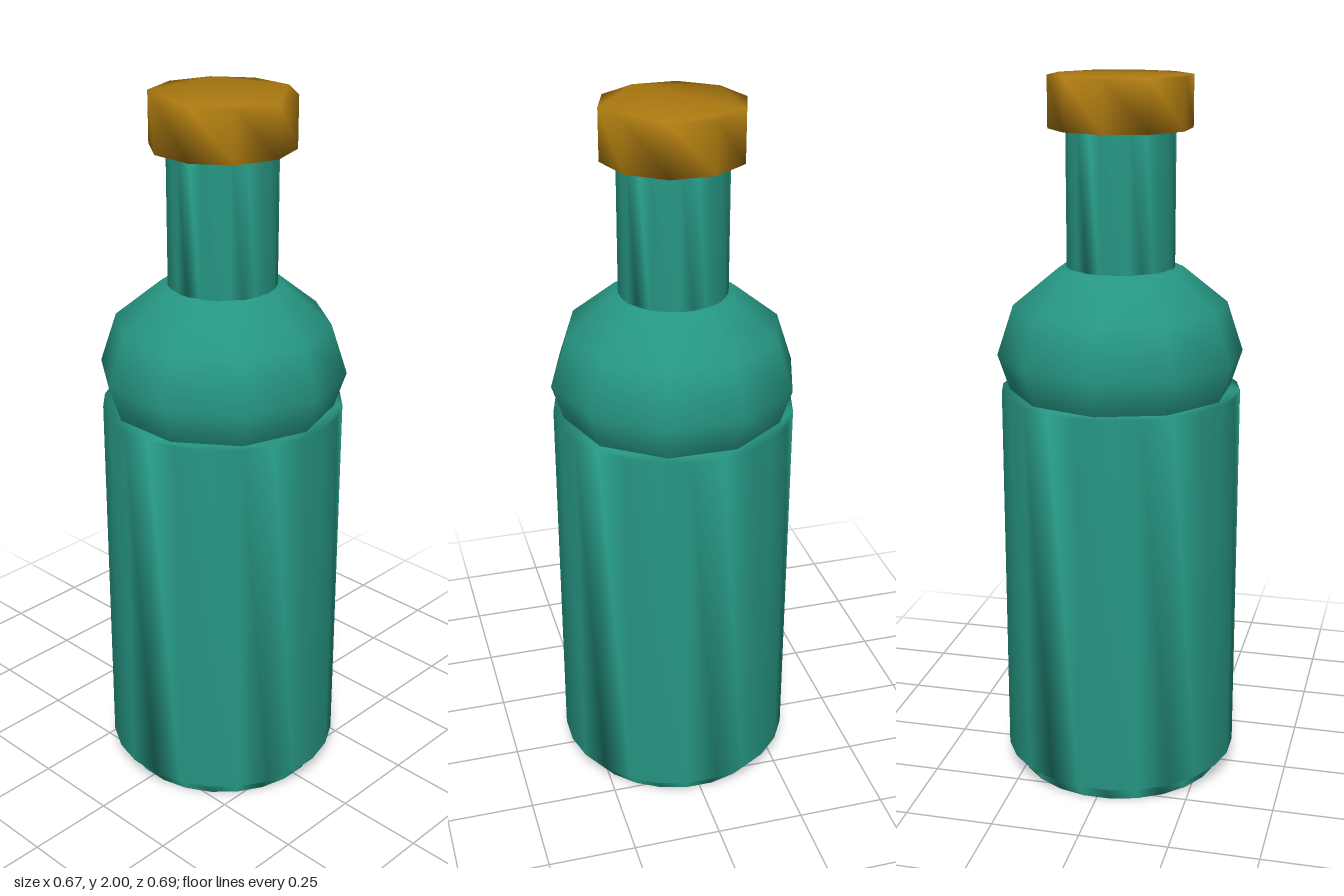
import * as THREE from 'three';
import { mergeVertices } from 'three/addons/utils/BufferGeometryUtils.js';

// Closed upright prism with welded corners, so shading flows over its rims.
function roundPrism(radius, y0, y1, sides, phase) {
  const points = [];
  for (let i = 0; i < sides; i++) {
    const a = ((i + phase) / sides) * Math.PI * 2;
    points.push(new THREE.Vector2(radius * Math.sin(a), radius * Math.cos(a)));
  }
  let geometry = new THREE.ExtrudeGeometry(new THREE.Shape(points), {
    depth: y1 - y0, bevelEnabled: false, steps: 1,
  });
  geometry.rotateX(-Math.PI / 2).translate(0, y0, 0);
  geometry.deleteAttribute('normal');
  geometry.deleteAttribute('uv');
  geometry = mergeVertices(geometry, 1e-4);
  geometry.computeVertexNormals();
  return geometry;
}

export function createModel() {
  const bottle = new THREE.Group();
  bottle.name = 'bottle';

  const glass = new THREE.MeshStandardMaterial({ color: 0x269683 });
  glass.name = 'teal glass';
  const amber = new THREE.MeshStandardMaterial({ color: 0xac7a10 });
  amber.name = 'amber cap';

  const add = (name, geometry, material) => {
    const mesh = new THREE.Mesh(geometry, material);
    mesh.name = name;
    bottle.add(mesh);
  };

  // Recessed foot, main body and neck share the same 24-sided section
  add('base', roundPrism(0.297, 0, 0.1, 24, 0.5), glass);
  add('body', roundPrism(0.336, 0.05, 1.14, 24, 0.5), glass);
  add('neck', roundPrism(0.15, 1.4, 1.9, 24, 0.5), glass);

  // Shoulder: squashed ten-sided ball, its lower half sunk into the body
  const shoulder = new THREE.SphereGeometry(1, 10, 6);
  shoulder.rotateY(Math.PI / 2).scale(0.345, 0.28, 0.345).translate(0, 1.24, 0);
  add('shoulder', shoulder, glass);

  // Ten-sided cap
  add('cap', roundPrism(0.197, 1.86, 2, 10, 0), amber);

  return bottle;
}
